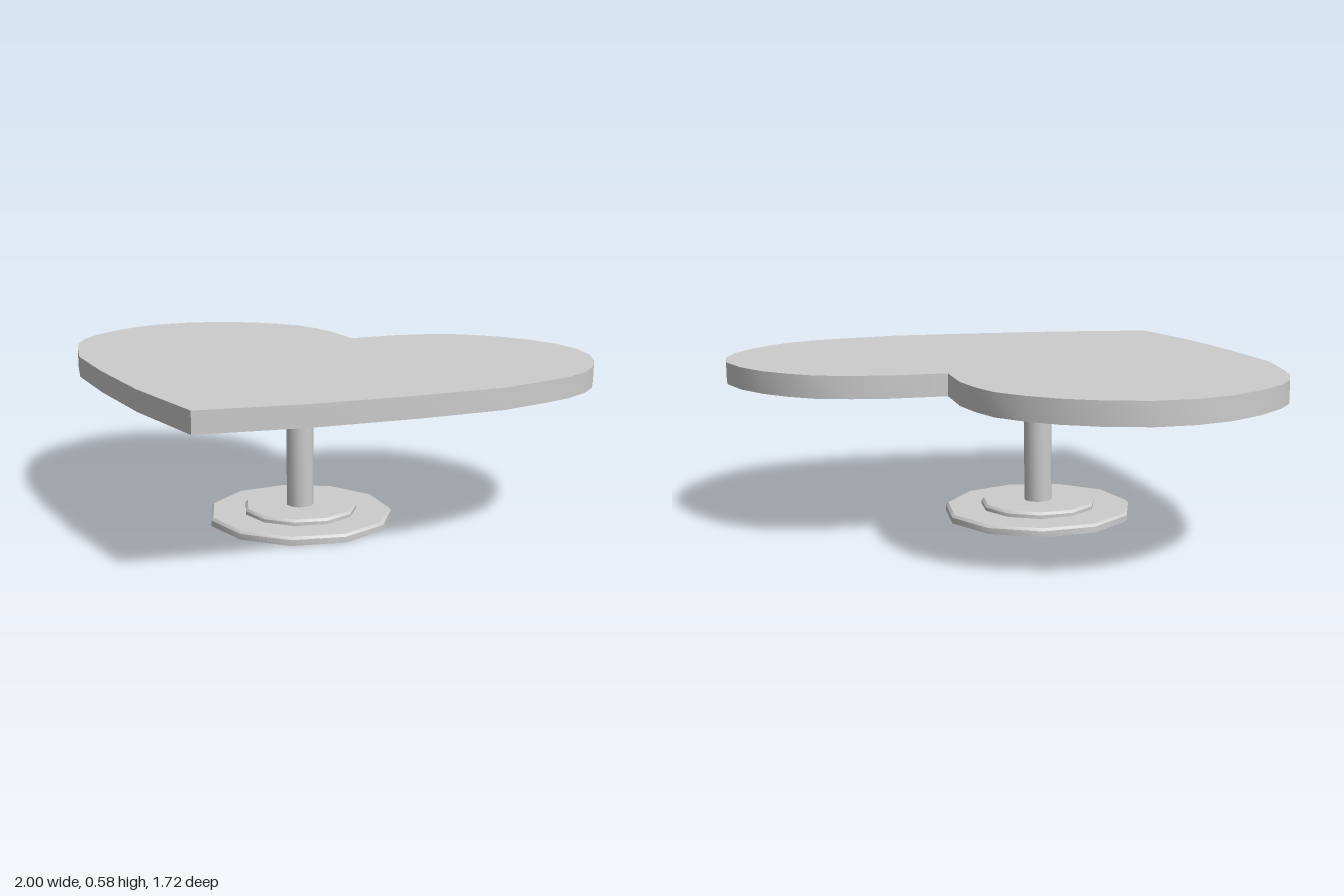
import * as THREE from 'three';
import { toCreasedNormals } from 'three/addons/utils/BufferGeometryUtils.js';

const CREASE = 0.65;
const SIDES = 11;
const STEM_Z = -0.028;

// Right half of the heart outline as [x, z], from the back notch to the front tip
const HALF = [
  [0, -0.6], [0.135, -0.735], [0.23, -0.8], [0.33, -0.85], [0.44, -0.863], [0.55, -0.857],
  [0.67, -0.825], [0.795, -0.76], [0.885, -0.67], [0.95, -0.56], [0.985, -0.43], [1, -0.3],
  [0.99, -0.195], [0.955, -0.09], [0.9, 0.01], [0.79, 0.18], [0.57, 0.4], [0.3, 0.64], [0, 0.86],
];

export function createModel() {
  const group = new THREE.Group();
  const grey = new THREE.MeshStandardMaterial({ color: 0xcccccc });
  grey.name = 'light grey';

  const add = (name, geometry) => {
    const mesh = new THREE.Mesh(toCreasedNormals(geometry, CREASE), grey);
    mesh.name = name;
    group.add(mesh);
    return mesh;
  };

  // Turned part standing on the stem axis, with a vertex facing the back
  const turned = (name, profile) => {
    const points = profile.map(([r, y]) => new THREE.Vector2(r, y));
    add(name, new THREE.LatheGeometry(points, SIDES, Math.PI)).position.z = STEM_Z;
  };

  // Disc with a narrow bevel on its upper rim
  const disc = (name, r, bottom, top) =>
    turned(name, [[0, bottom], [r, bottom], [r, top - 0.009], [r - 0.009, top], [0, top]]);

  // Heart-shaped top, mirrored from one half
  const mirrored = HALF.slice(1, -1).reverse().map(([x, z]) => [-x, z]);
  const outline = [...HALF, ...mirrored].map(([x, z]) => new THREE.Vector2(x, -z));
  const heart = new THREE.ExtrudeGeometry(new THREE.Shape(outline), { depth: 0.074, bevelEnabled: false });
  heart.rotateX(-Math.PI / 2);
  heart.translate(0, 0.511, 0);
  add('heartTabletop', heart);

  // Stem and two-step foot
  turned('stem', [[0.05, 0.04], [0.05, 0.515]]);
  disc('upperFoot', 0.209, 0.01, 0.051);
  disc('lowerFoot', 0.341, 0, 0.03);

  return group;
}
